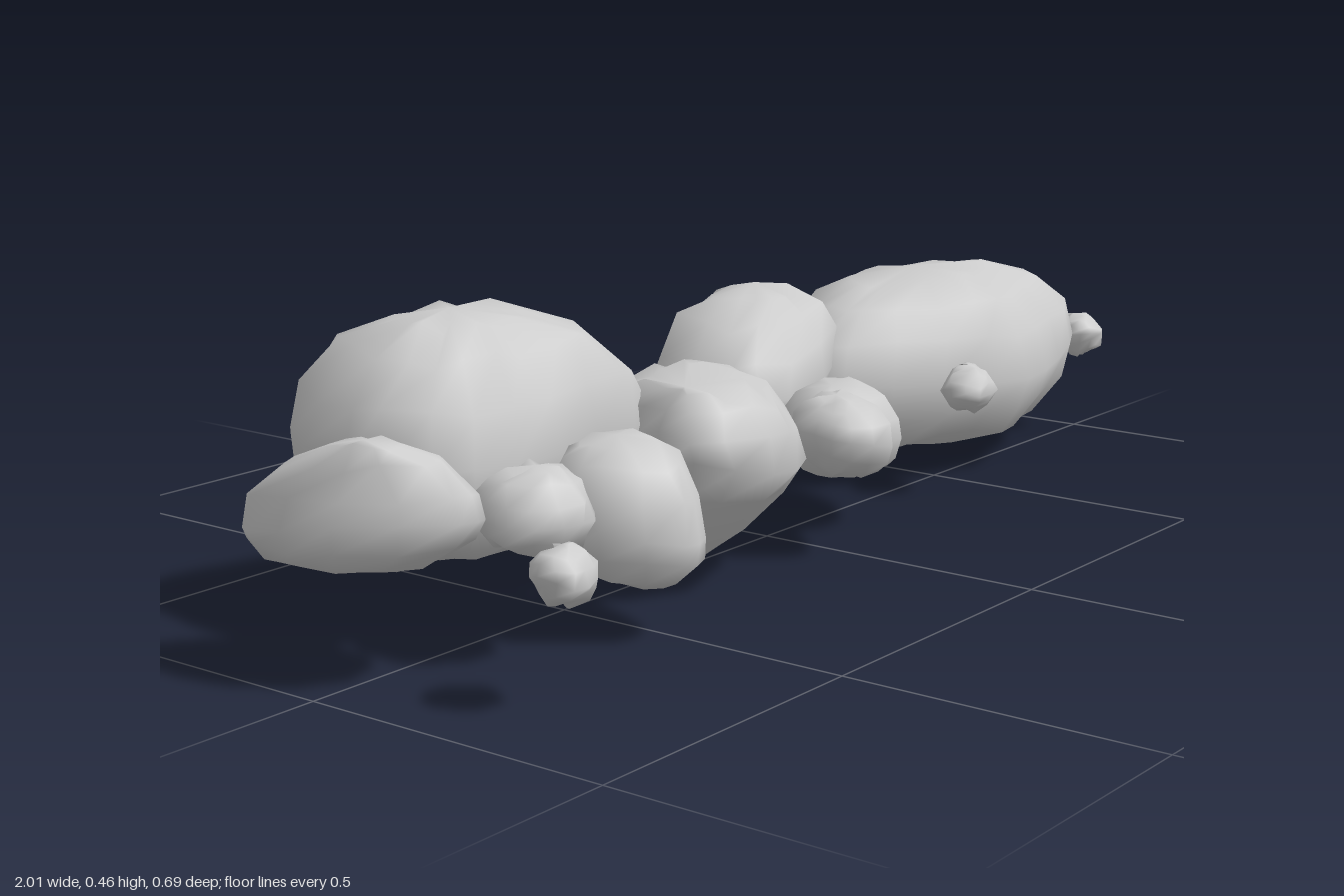
import * as THREE from 'three';

const material = new THREE.MeshStandardMaterial({ color: 0xcccccc });

function seeded(seed) {
  let s = seed * 7919 + 17;
  return () => (s = (s * 16807) % 2147483647) / 2147483647;
}

// A stone: a closed rim of [x, y, z] points, drawn in towards a crown and a base.
// top / bottom: bluntness of each half (1 = round, below 1 = boxier, above 1 = pointed)
function stone(name, seed, rim, crown, base, { top = 0.9, bottom = 0.9, rough = 0.01 } = {}) {
  const rand = seeded(seed);
  const jitter = (size) => (rand() - 0.5) * 2 * size;
  const curve = new THREE.CatmullRomCurve3(rim.map((p) => new THREE.Vector3(...p)), true, 'centripetal');
  const n = rim.length * 2;
  const levels = [-0.76, -0.52, -0.26, 0, 0.26, 0.52, 0.76];
  const pos = [...base], index = [];

  levels.forEach((level) => {
    const a = Math.abs(level) * Math.PI / 2;
    const blunt = level < 0 ? bottom : top;
    const end = level < 0 ? base : crown;
    const inward = 1 - Math.pow(Math.cos(a), blunt);
    const rise = Math.pow(Math.sin(a), Math.max(blunt, 0.95));
    const size = level === 0 ? rough * 0.3 : rough;
    for (let i = 0; i < n; i++) {
      const p = curve.getPoint(i / n);
      pos.push(
        THREE.MathUtils.lerp(p.x, end[0], inward) + jitter(size),
        THREE.MathUtils.lerp(p.y, end[1], rise) + jitter(size),
        THREE.MathUtils.lerp(p.z, end[2], inward) + jitter(size));
    }
  });
  pos.push(...crown);

  const last = pos.length / 3 - 1;
  const at = (k, i) => 1 + k * n + (i % n);
  for (let i = 0; i < n; i++) {
    index.push(0, at(0, i), at(0, i + 1));
    for (let k = 0; k < levels.length - 1; k++) {
      index.push(at(k, i), at(k + 1, i), at(k, i + 1));
      index.push(at(k, i + 1), at(k + 1, i), at(k + 1, i + 1));
    }
    index.push(at(levels.length - 1, i), last, at(levels.length - 1, i + 1));
  }

  const g = new THREE.BufferGeometry();
  g.setAttribute('position', new THREE.Float32BufferAttribute(pos, 3));
  g.setIndex(index);
  g.computeVertexNormals();
  const mesh = new THREE.Mesh(g, material);
  mesh.name = name;
  return mesh;
}

// A pebble: a small knobbly ball
function pebble(name, seed, x, y, z, rx, ry, rz) {
  const rand = seeded(seed);
  const rim = Array.from({ length: 6 }, (_, i) => {
    const a = i * Math.PI / 3, r = 0.85 + rand() * 0.22;
    return [x + Math.cos(a) * rx * r, y + (rand() - 0.5) * ry * 0.5, z + Math.sin(a) * rz * r];
  });
  return stone(name, seed, rim, [x, y + ry, z], [x, y - ry, z], { top: 1.1, bottom: 1.1, rough: 0.006 });
}

export function createModel() {
  const group = new THREE.Group();
  group.name = 'stoneRow';

  group.add(
    // Large stones at either end
    stone('largeLeftStone', 1, [
      [0.57, 0.15, -0.345], [0.73, 0.15, -0.31], [0.88, 0.17, -0.2], [0.95, 0.2, -0.05],
      [0.91, 0.2, 0.04], [0.78, 0.18, 0.09], [0.62, 0.17, 0.12], [0.44, 0.18, 0.06],
      [0.285, 0.19, -0.05], [0.26, 0.19, -0.13], [0.36, 0.17, -0.25],
    ], [0.59, 0.357, -0.11], [0.6, 0.038, -0.09], { top: 0.8, bottom: 0.8, rough: 0.008 }),
    stone('largeRightStone', 2, [
      [-0.69, 0.28, -0.33], [-0.5, 0.28, -0.28], [-0.3, 0.29, -0.16], [-0.34, 0.27, 0.04],
      [-0.48, 0.26, 0.055], [-0.66, 0.26, 0.06], [-0.8, 0.27, 0.03], [-0.84, 0.28, -0.1],
      [-0.77, 0.28, -0.28],
    ], [-0.6, 0.455, -0.12], [-0.59, 0.09, -0.08], { top: 0.98, bottom: 1.02 }),

    // Middle stones
    stone('centreStone', 3, [
      [-0.29, 0.19, -0.14], [-0.08, 0.19, -0.19], [0.02, 0.19, -0.15], [0, 0.18, 0],
      [-0.13, 0.18, 0.17], [-0.3, 0.2, 0.24], [-0.42, 0.23, 0.18], [-0.39, 0.21, 0.05],
    ], [-0.35, 0.325, 0.11], [-0.235, 0, -0.015], { top: 0.75, bottom: 1.55 }),
    stone('backStone', 4, [
      [0.03, 0.21, -0.27], [0.2, 0.23, -0.32], [0.33, 0.28, -0.325], [0.37, 0.27, -0.21],
      [0.33, 0.23, -0.09], [0.13, 0.2, -0.05], [0.02, 0.2, -0.09],
    ], [0.31, 0.35, -0.26], [0.19, 0.13, -0.18], { top: 0.8, bottom: 0.75 }),
    stone('frontStone', 5, [
      [0.1, 0.17, -0.05], [0.27, 0.16, -0.08], [0.3, 0.16, 0], [0.18, 0.15, 0.14],
      [0.06, 0.16, 0.14], [0.01, 0.17, 0.06],
    ], [0.11, 0.24, 0.05], [0.18, 0.08, 0.04], { rough: 0.006 }),
    stone('frontSmallStone', 6, [
      [-0.01, 0.2, 0.07], [0.06, 0.18, 0.1], [0.075, 0.18, 0.16], [-0.01, 0.19, 0.25],
      [-0.08, 0.2, 0.22], [-0.095, 0.21, 0.16], [-0.07, 0.21, 0.1],
    ], [-0.02, 0.26, 0.15], [0, 0.13, 0.15], { rough: 0.006 }),

    // Right-hand cluster
    stone('rightFrontStone', 7, [
      [-0.52, 0.19, 0.03], [-0.44, 0.2, 0.06], [-0.42, 0.19, 0.15], [-0.48, 0.15, 0.25],
      [-0.54, 0.15, 0.265], [-0.63, 0.18, 0.18], [-0.62, 0.2, 0.08],
    ], [-0.53, 0.29, 0.13], [-0.52, 0.075, 0.17], { top: 0.75, rough: 0.006 }),
    stone('rightSmallStone', 8, [
      [-0.7, 0.21, 0.05], [-0.63, 0.22, 0.08], [-0.62, 0.21, 0.15], [-0.67, 0.21, 0.21],
      [-0.73, 0.21, 0.21], [-0.785, 0.21, 0.15], [-0.77, 0.22, 0.08],
    ], [-0.7, 0.28, 0.13], [-0.71, 0.16, 0.13], { rough: 0.006 }),
    stone('rightEndStone', 9, [
      [-0.93, 0.2, -0.18], [-0.82, 0.2, -0.1], [-0.78, 0.22, 0.02], [-0.81, 0.23, 0.14],
      [-0.88, 0.24, 0.16], [-0.99, 0.24, 0.04], [-0.99, 0.21, -0.13],
    ], [-0.94, 0.35, 0.05], [-0.93, 0.155, -0.04], { top: 1.2, rough: 0.007 }),

    // Pebbles
    pebble('rightPebble', 10, -0.84, 0.19, 0.3, 0.052, 0.04, 0.05),
    pebble('frontPebble', 11, 0.415, 0.192, 0.12, 0.052, 0.04, 0.048),
    pebble('leftPebble', 12, 0.955, 0.19, 0.03, 0.045, 0.04, 0.048),
  );
  return group;
}
